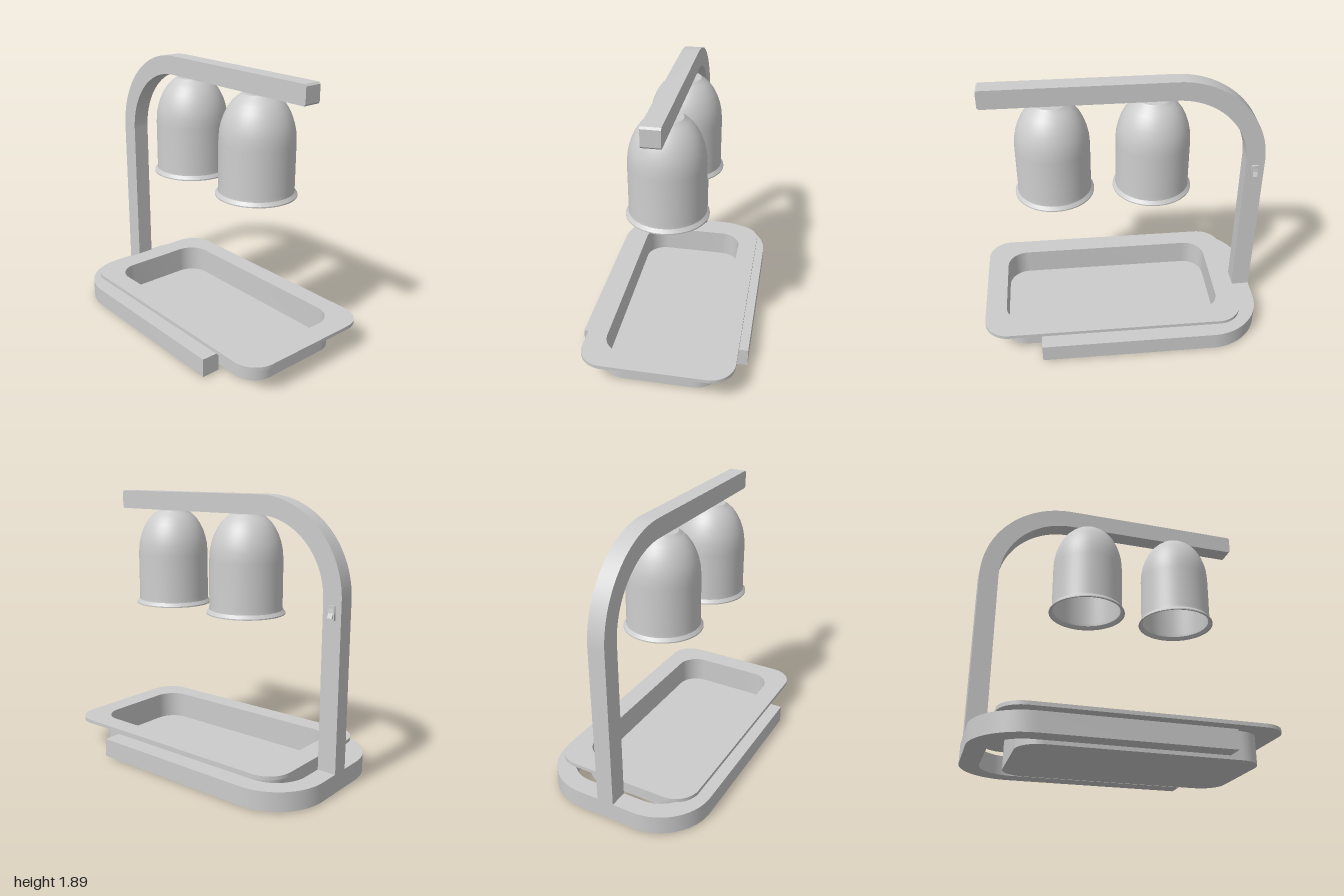
import * as THREE from 'three';
import { toCreasedNormals } from 'three/addons/utils/BufferGeometryUtils.js';

const material = new THREE.MeshStandardMaterial({ color: 0xcccccc });

function addMesh(parent, name, geometry, crease = 0.5) {
  const mesh = new THREE.Mesh(toCreasedNormals(geometry, crease), material);
  mesh.name = name;
  parent.add(mesh);
  return mesh;
}

// Rounded rectangle centred on the origin
function roundedRect(w, d, r, Type = THREE.Shape) {
  const x = w / 2, y = d / 2, s = new Type();
  s.moveTo(-x + r, -y);
  s.lineTo(x - r, -y);
  s.absarc(x - r, -y + r, r, -Math.PI / 2, 0);
  s.absarc(x - r, y - r, r, 0, Math.PI / 2);
  s.absarc(-x + r, y - r, r, Math.PI / 2, Math.PI);
  s.absarc(-x + r, -y + r, r, Math.PI, Math.PI * 1.5);
  return s;
}

// Extrude a plan shape upwards from y0 to y1 (shape y becomes -z)
function slab(shape, y0, y1) {
  return new THREE.ExtrudeGeometry(shape, { depth: y1 - y0, bevelEnabled: false, curveSegments: 16 })
    .rotateX(-Math.PI / 2).translate(0, y0, 0);
}

// Extrude a side profile drawn in (z, y) across the x axis
function sideProfile(shape, x0, x1) {
  return new THREE.ExtrudeGeometry(shape, { depth: x1 - x0, bevelEnabled: false, curveSegments: 24 })
    .rotateY(-Math.PI / 2).translate(x1, 0, 0);
}

function makeBase() {
  const s = new THREE.Shape();
  s.moveTo(0.58, -0.6);
  s.lineTo(0.58, 0.63);
  s.absarc(0.21, 0.63, 0.37, 0, Math.PI / 2);
  s.absarc(-0.21, 0.63, 0.37, Math.PI / 2, Math.PI);
  s.lineTo(-0.58, -0.6);
  s.lineTo(-0.45, -0.6);
  s.lineTo(-0.45, 0.63);
  s.absarc(-0.21, 0.63, 0.24, Math.PI, Math.PI / 2, true);
  s.absarc(0.21, 0.63, 0.24, Math.PI / 2, 0, true);
  s.lineTo(0.45, -0.6);
  return slab(s, 0.01, 0.14);
}

function makeArm() {
  const s = new THREE.Shape(), c = 0.012;
  s.moveTo(-1, 0.14);
  s.lineTo(-0.87, 0.14);
  s.lineTo(-0.87, 1.26);
  s.absarc(-0.37, 1.26, 0.5, Math.PI, Math.PI / 2, true);
  s.lineTo(0.9 - c, 1.76);
  s.lineTo(0.9, 1.76 + c);
  s.lineTo(0.9, 1.89 - c);
  s.lineTo(0.9 - c, 1.89);
  s.lineTo(-0.37, 1.89);
  s.absarc(-0.37, 1.26, 0.63, Math.PI / 2, Math.PI);
  return sideProfile(s, -0.06, 0.06);
}

// Thin-walled lamp shade: down the inside, round the lip, up the outside
function makeShade() {
  const outer = [[0.252, 1.12], [0.25, 1.14], [0.25, 1.45], [0.245, 1.52], [0.234, 1.57],
    [0.217, 1.62], [0.195, 1.665], [0.167, 1.705], [0.137, 1.735], [0.11, 1.755]];
  const inner = outer.map(([r, y]) => [r - 0.012, y - 0.01]).reverse();
  const profile = [[0, 1.745], ...inner, [0.258, 1.09], [0.27, 1.09], [0.27, 1.098],
    ...outer, [0.105, 1.76], [0, 1.76]];
  return new THREE.LatheGeometry(profile.map(([r, y]) => new THREE.Vector2(r, y)), 48);
}

export function createModel() {
  const model = new THREE.Group();
  model.name = 'foodWarmer';

  // Stand
  addMesh(model, 'base', makeBase());
  addMesh(model, 'arm', makeArm());

  // Lamps
  for (const z of [0.445, -0.225]) addMesh(model, 'lampShade', makeShade(), 0.4).position.z = z;

  // Tray: flat rim, hollow walls and floor
  const tray = new THREE.Group();
  tray.name = 'tray';
  tray.position.z = 0.075;
  model.add(tray);
  const rim = roundedRect(1.04, 1.85, 0.17);
  rim.holes.push(roundedRect(0.76, 1.55, 0.15, THREE.Path));
  addMesh(tray, 'trayRim', slab(rim, 0.19, 0.215));
  const walls = roundedRect(0.8, 1.58, 0.16);
  walls.holes.push(roundedRect(0.76, 1.55, 0.15, THREE.Path));
  addMesh(tray, 'trayWalls', slab(walls, 0, 0.19));
  addMesh(tray, 'trayFloor', slab(roundedRect(0.77, 1.56, 0.15), 0, 0.02));

  // Rocker switch on the left of the post
  const frame = roundedRect(0.05, 0.095, 0.006);
  frame.holes.push(roundedRect(0.034, 0.06, 0.003, THREE.Path));
  const power = new THREE.Group();
  power.name = 'switch';
  power.position.set(0.06, 1.188, -0.935);
  model.add(power);
  addMesh(power, 'switchFrame', sideProfile(frame, 0, 0.015));
  const rocker = new THREE.Shape([[0, -0.03], [0.03, -0.03], [0.016, 0], [0.012, 0.03], [0, 0.03]]
    .map(([x, y]) => new THREE.Vector2(x, y)));
  addMesh(power, 'switchRocker', new THREE.ExtrudeGeometry(rocker, { depth: 0.034, bevelEnabled: false })
    .translate(0, 0, -0.017), 0.2);

  return model;
}
